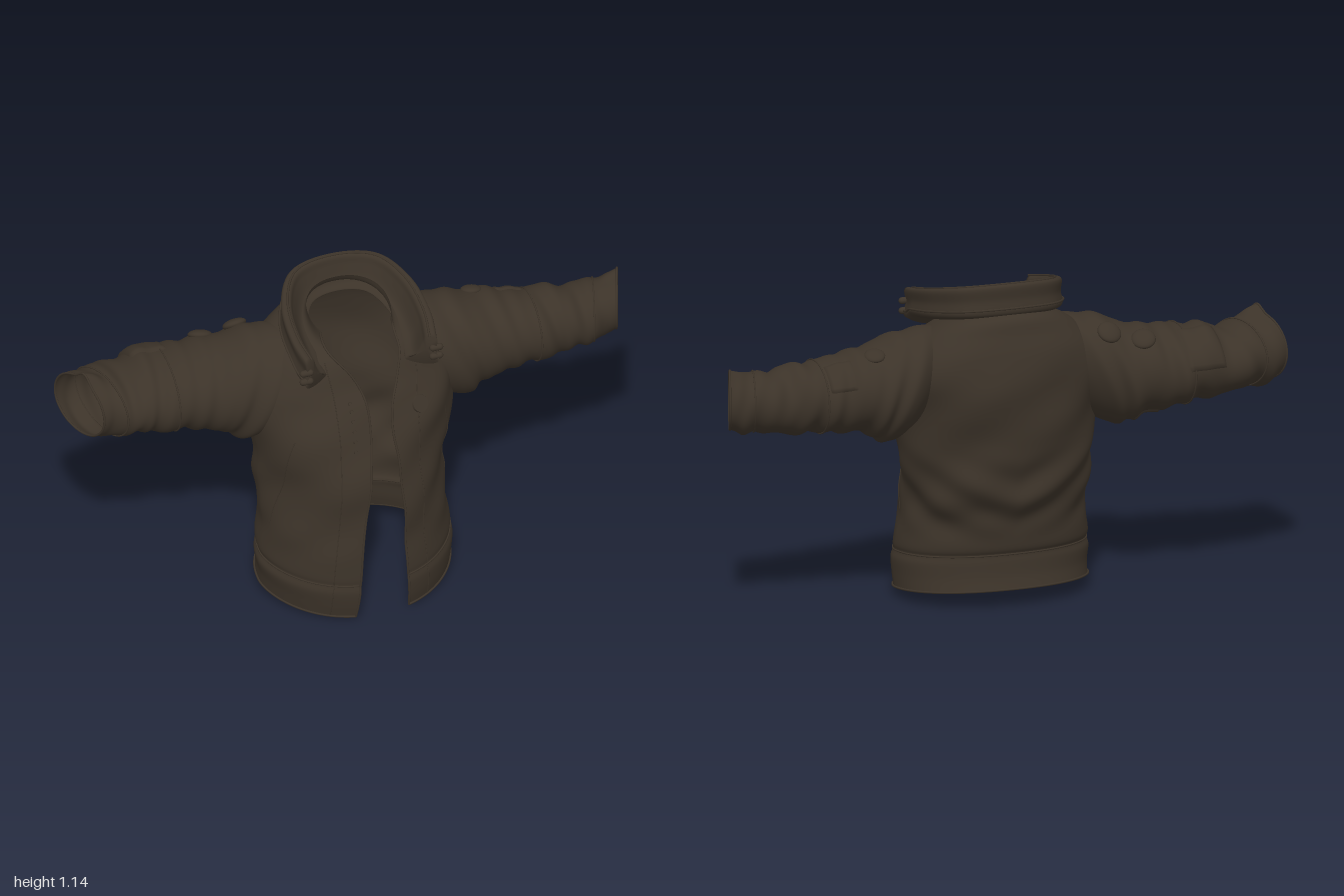
import * as THREE from 'three';

const cloth = new THREE.MeshStandardMaterial({ color: 0x3c3329, side: THREE.DoubleSide });
cloth.name = 'dark brown cloth';

const { sin, cos, abs, sign, pow, exp, PI } = Math;
const clamp = THREE.MathUtils.clamp;
const smooth = THREE.MathUtils.smoothstep;
const spow = (v, p) => sign(v) * pow(abs(v), p);

// Catmull-Rom sample of a table of cross-section rows, t in 0..1
function sampleRows(rows, t) {
  const f = clamp(t, 0, 1) * (rows.length - 1);
  const i = Math.min(Math.floor(f), rows.length - 2), w = f - i;
  const r = k => rows[clamp(k, 0, rows.length - 1)];
  return rows[0].map((_, c) => {
    const a = r(i - 1)[c], b = r(i)[c], d = r(i + 1)[c], e = r(i + 2)[c];
    return b + 0.5 * w * (d - a + w * (2 * a - 5 * b + 4 * d - e + w * (3 * (b - d) + e - a)));
  });
}

// Smooth sheet over surf(u, v); closed joins u = 1 back to u = 0
function sheet(surf, nu, nv, closed) {
  const pos = [], idx = [], cols = closed ? nu : nu + 1;
  for (let j = 0; j <= nv; j++)
    for (let i = 0; i < cols; i++) pos.push(...surf(i / nu, j / nv).toArray());
  for (let j = 0; j < nv; j++)
    for (let i = 0; i < nu; i++) {
      const a = j * cols + i, b = j * cols + (i + 1) % cols;
      idx.push(a, b, b + cols, a, b + cols, a + cols);
    }
  const g = new THREE.BufferGeometry();
  g.setAttribute('position', new THREE.Float32BufferAttribute(pos, 3));
  g.setIndex(idx);
  g.computeVertexNormals();
  return g;
}

function normalAt(surf, u, v) {
  const e = 0.004, p = surf(u, v);
  return surf(u + e, v).sub(p).cross(surf(u, v + e).sub(p)).normalize();
}

// Body: y, centre x, half width, back z, front z, right edge x, left edge x, forward drop
const bodyRows = [
  [0.045, -0.03, 0.335, -0.215, 0.316, -0.11, 0.08, 0.115],
  [0.09, -0.03, 0.337, -0.203, 0.325, -0.105, 0.078, 0.11],
  [0.14, -0.033, 0.342, -0.197, 0.329, -0.1, 0.076, 0.1],
  [0.17, -0.033, 0.333, -0.194, 0.324, -0.097, 0.075, 0.09],
  [0.20, -0.034, 0.336, -0.205, 0.324, -0.094, 0.073, 0.08],
  [0.30, -0.035, 0.322, -0.215, 0.316, -0.085, 0.07, 0.05],
  [0.40, -0.033, 0.322, -0.252, 0.306, -0.07, 0.066, 0],
  [0.50, -0.03, 0.33, -0.266, 0.297, -0.055, 0.06, 0],
  [0.60, -0.028, 0.345, -0.272, 0.28, -0.045, 0.055, 0],
  [0.70, -0.025, 0.358, -0.283, 0.253, -0.035, 0.046, 0],
  [0.80, -0.022, 0.358, -0.292, 0.205, -0.035, 0.055, 0.03],
  [0.87, -0.02, 0.335, -0.281, 0.172, -0.05, 0.08, 0.1],
  [0.93, -0.02, 0.285, -0.257, 0.152, -0.08, 0.1, 0.15],
  [0.97, -0.02, 0.22, -0.237, 0.14, -0.11, 0.11, 0.22],
  [1.00, -0.022, 0.15, -0.18, 0.125, -0.14, 0.108, 0.28],
  [1.045, -0.023, 0.142, -0.157, 0.11, -0.148, 0.102, 0.25],
];
function body(u, v) {
  const [y, cx, w, zb, zf, xR, xL, drop] = sampleRows(bodyRows, v), p = 0.9;
  const edge = x => Math.asin(spow(clamp(x / w, -0.98, 0.98), 1 / p));
  const a = THREE.MathUtils.lerp(edge(xL - cx), 2 * PI - edge(cx - xR), u);
  const mid = smooth(y, 0.2, 0.35) * (1 - smooth(y, 0.75, 0.95));
  const back = 0.5 - 0.5 * cos(a);
  // Diagonal drape folds, strongest low on the back and sides
  const fold = mid * (0.005 * sin(16 * y + 3 * a) + 0.004 * sin(25 * y - 6 * a)
    + 0.009 * back * sin(38 * y - 7 * abs(a - PI)) * (1 - smooth(y, 0.4, 0.6)));
  // The front tapers more sharply towards the opening than the back
  const taper = cos(a) > 0 ? 1.25 - 0.35 * smooth(y, 0.6, 0.9) : p;
  const z = (zf + zb) / 2 + ((zf - zb) / 2 + fold) * spow(cos(a), taper);
  return new THREE.Vector3(cx + (w + fold) * spow(sin(a), p), y - drop * z, z);
}

// Sleeves: distance out, top y, bottom y, back z, front z
const sleeveRows = {
  left: [
    [0.25, 0.97, 0.63, -0.18, 0.085], [0.32, 0.977, 0.597, -0.24, 0.1], [0.4, 0.957, 0.612, -0.25, 0.085],
    [0.5, 0.927, 0.646, -0.243, 0.068], [0.6, 0.905, 0.655, -0.225, 0.053], [0.7, 0.897, 0.66, -0.212, 0.035],
    [0.8, 0.885, 0.67, -0.2, 0.022], [0.9, 0.885, 0.685, -0.2, 0.01], [0.955, 0.897, 0.7, -0.203, 0.0],
  ],
  right: [
    [0.25, 0.97, 0.63, -0.19, 0.085], [0.33, 0.977, 0.59, -0.255, 0.095], [0.4, 0.963, 0.593, -0.278, 0.072],
    [0.5, 0.927, 0.622, -0.295, 0.045], [0.6, 0.918, 0.643, -0.312, 0.037], [0.7, 0.912, 0.657, -0.31, 0.033],
    [0.8, 0.892, 0.673, -0.29, 0.022], [0.9, 0.905, 0.677, -0.25, 0.012], [0.95, 0.915, 0.69, -0.225, 0.005],
  ],
};
function sleeve(name) {
  const s = name === 'left' ? 1 : -1, slant = s > 0 ? 0.35 : 0.42;
  return (u, v) => {
    const [x, yT, yB, zB, zF] = sampleRows(sleeveRows[name], v), a = u * 2 * PI * s;
    const ease = smooth(x, 0.27, 0.42) * (1 - 0.6 * smooth(x, 0.9, 0.95));
    // Bunched cloth: rings of wrinkles that wander around the arm
    const wr = ease * (0.004 * sin(62 * x + 2.2 * sin(a + 4 * x)) + 0.004 * sin(37 * x - 2 * a)
      + 0.002 * sin(95 * x + 3 * cos(a)));
    const yc = (yT + yB) / 2, zc = (zB + zF) / 2;
    // Pointed flap of cloth on top of the cuff
    const tip = (s > 0 ? 0.014 : 0.03) * exp(-pow((a + s * 0.2 - (u > 0.5 ? 2 * PI * s : 0)) / 0.25, 2))
      * smooth(x, 0.86, 0.94);
    const y = yc + ((yT - yB) / 2 + wr) * cos(a) + tip;
    const z = zc + ((zF - zB) / 2 + wr) * sin(a);
    const out = x - 0.33 * (y - 0.8) * (1 - smooth(x, 0.27, 0.55)) - slant * (z - zc) * smooth(x, 0.65, 0.95);
    return new THREE.Vector3(s * out, y, z);
  };
}

// Collar: plan path from right front round the back to left front
const collarPath = new THREE.CatmullRomCurve3([
  [-0.25, 0.215], [-0.267, 0.1], [-0.25, -0.06], [-0.175, -0.185], [-0.02, -0.222],
  [0.135, -0.185], [0.21, -0.06], [0.227, 0.1], [0.21, 0.215],
].map(([x, z]) => new THREE.Vector3(x, 0, z)));
// Collar section: closeness to the neck, height
const collarSection = new THREE.CatmullRomCurve3([
  [1, 0], [0.99, 0.5], [1, 0.93], [0.96, 1.0], [0.88, 0.95], [0.83, 0.65], [0.72, 0.1], [0.61, -0.1], [0.8, -0.15],
].map(([s, h]) => new THREE.Vector3(s, h, 0)), true);
function collarPoint(u, t) {
  const p = collarPath.getPoint(clamp(t, 0, 1)), q = collarSection.getPoint(((u % 1) + 1) % 1);
  // The lower edge drops into a tab at each front end
  const low = 0.992 - 0.2 * p.z - 0.018 * smooth(p.z, 0.1, 0.16), high = 1.087 - 0.24 * p.z;
  return new THREE.Vector3(-0.02 + (p.x + 0.02) * q.x, low + (high - low) * q.y, p.z * (0.2 + 0.8 * q.x));
}
function collar(u, v) {
  if (v > 0 && v < 1) return collarPoint(u, (v * 64 - 1) / 62);
  const c = new THREE.Vector3();
  for (let i = 0; i < 12; i++) c.addScaledVector(collarPoint(i / 12, v), 1 / 12);
  return c;
}

export function createModel() {
  const model = new THREE.Group();
  model.name = 'jacket';
  const add = (name, geo) => {
    const m = new THREE.Mesh(geo, cloth);
    m.name = name;
    model.add(m);
    return m;
  };
  // Raised seam following a line on the outside of a surface
  const seam = (name, surf, line, r = 0.004, closed = false, n = 70) => {
    const pts = [];
    for (let i = 0; i < (closed ? n : n + 1); i++) {
      const [u, v] = line(i / n);
      pts.push(surf(u, v).addScaledVector(normalAt(surf, u, v), r * 0.5));
    }
    add(name, new THREE.TubeGeometry(new THREE.CatmullRomCurve3(pts, closed), n * 2, r, 6, closed));
  };
  // Detail standing on a surface, its +y pointing outwards
  const place = (name, geo, surf, u, v) => {
    const m = add(name, geo);
    m.position.copy(surf(u, v));
    m.quaternion.setFromUnitVectors(new THREE.Vector3(0, 1, 0), normalAt(surf, u, v));
  };
  // Padded patch lying over a surface
  const patch = (name, surf, u0, u1, v0, v1, h) => add(name, sheet((a, b) => {
    const u = u0 + (u1 - u0) * a, v = v0 + (v1 - v0) * b;
    const rim = a === 0 || a === 1 || b === 0 || b === 1;
    return surf(u, v).addScaledVector(normalAt(surf, u, v), rim ? -0.004 : h);
  }, 14, 14, false));

  // Body shell with inner neck stand, hem, front edges, placket and waistband seams
  add('body', sheet(body, 150, 120, false));
  seam('hemEdge', body, t => [t, 0], 0.004);
  seam('waistSeam', body, t => [t, 0.2], 0.003);
  for (const [side, u, k] of [['left', 0, 1], ['right', 1, -1]]) {
    seam(side + 'FrontEdge', body, t => [u, t * 0.99], 0.004);
    seam(side + 'PlacketSeam', body, t => [u + k * 0.045, t * 0.86], 0.002);
    seam(side + 'PocketSeam', body, t => [u + k * (0.2 - 0.08 * t), 0.34 + 0.25 * t], 0.002);
  }

  // Snap studs on the right front and a round badge on the left chest
  for (let i = 0; i < 6; i++)
    place('frontStud', new THREE.CylinderGeometry(0.006, 0.008, 0.012, 10), body, 0.978, 0.57 + i * 0.023);
  place('chestBadge', new THREE.CylinderGeometry(0.029, 0.032, 0.012, 28), body, 0.05, 0.64);

  // Sleeves with elbow and cuff seams
  for (const name of ['left', 'right']) {
    const surf = sleeve(name);
    add(name + 'Sleeve', sheet(surf, 64, 150, true));
    seam(name + 'CuffEdge', surf, t => [t, 1], 0.004, true, 48);
    for (const v of [0.55, 0.83]) seam(name + 'SleeveSeam', surf, t => [t, v], 0.003, true, 48);
  }
  const rightArm = sleeve('right'), leftArm = sleeve('left');

  // Domed shoulder buttons and padded sleeve pockets
  for (const v of [0.24, 0.36])
    place('shoulderButton', new THREE.SphereGeometry(0.042, 24, 12).scale(1, 0.42, 1), rightArm, 0.1, v);
  place('leftShoulderButton', new THREE.SphereGeometry(0.036, 24, 12).scale(1, 0.4, 1), leftArm, 0.93, 0.33);
  patch('rightSleevePocket', rightArm, 0.03, 0.24, 0.52, 0.68, 0.007);
  patch('leftSleevePocket', leftArm, 0.8, 0.95, 0.42, 0.54, 0.006);
  patch('rightUnderarmTab', rightArm, 0.42, 0.55, 0.3, 0.44, 0.006);

  // Standing collar with piping and end clasps
  add('collar', sheet(collar, 54, 64, true));
  seam('collarPiping', collarPoint, t => [0.05, t], 0.004);
  seam('collarRimPiping', collarPoint, t => [0.4, t], 0.004);
  for (const [side, x] of [['right', -0.25], ['left', 0.21]])
    for (let i = 0; i < 2; i++) {
      const clasp = add(side + 'CollarClasp', new THREE.CapsuleGeometry(0.012, 0.025, 4, 10));
      clasp.position.set(x, 0.955 + i * 0.035, 0.207);
      clasp.rotation.z = PI / 2;
    }
  return model;
}
